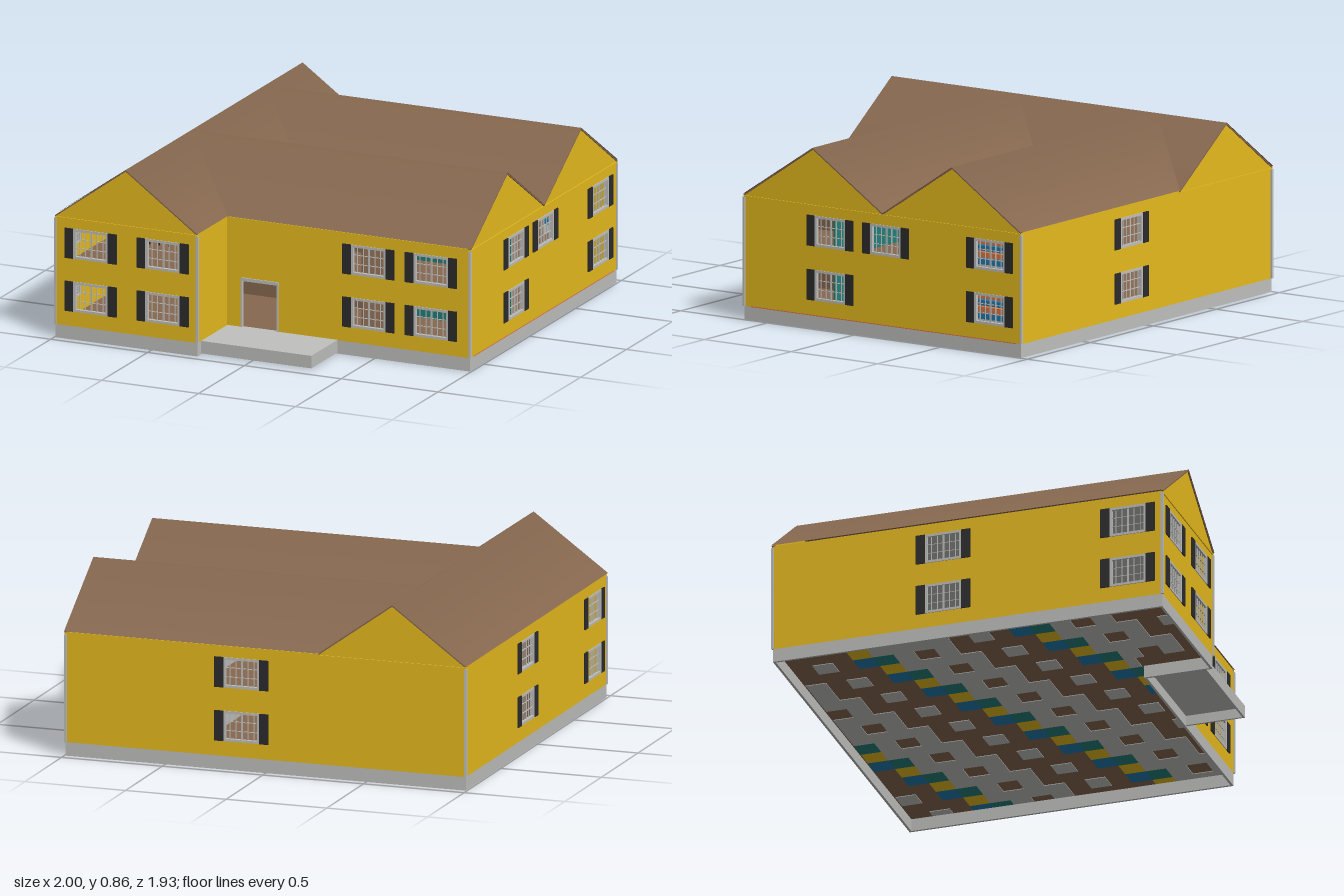
import * as THREE from 'three';

const mat = (name, color, double) => {
  const m = new THREE.MeshStandardMaterial({ color });
  m.name = name;
  if (double) m.side = THREE.DoubleSide;
  return m;
};

export function createModel() {
  const yellow = mat('yellow siding', 0xe8bc1e);
  const brown = mat('brown roof', 0x87684f, true);
  const grey = mat('grey trim', 0xc0c0be);
  const dark = mat('dark shutters', 0x2c2c2e);
  const teal = mat('teal plaster', 0x238078);
  const blue = mat('blue books', 0x1f7ab0);
  const orange = mat('orange books', 0xe0753f);

  const house = new THREE.Group();
  house.name = 'house';

  // Main dimensions: side, back/wing front, main front, wing inner wall
  const W = 0.994, B = 0.96, F = 0.637, I = -0.262;
  const BASE = 0.065, EAVE = 0.595, RIDGE = 0.863;
  const FRONT_RIDGE = 0.239, BACK_RIDGE = -0.564, VALLEY = -0.163, WING_RIDGE = -0.63;

  const box = (parent, name, m, x0, x1, y0, y1, z0, z1) => {
    const mesh = new THREE.Mesh(new THREE.BoxGeometry(x1 - x0, y1 - y0, z1 - z0), m);
    mesh.position.set((x0 + x1) / 2, (y0 + y1) / 2, (z0 + z1) / 2);
    mesh.name = name;
    parent.add(mesh);
    return mesh;
  };
  const shapeOf = pts => new THREE.Shape(pts.map(p => new THREE.Vector2(p[0], p[1])));

  // L-shaped footprint, shrunk by d; laid flat with its top at y
  const footprint = d => [
    [-W + d, -B + d], [W - d, -B + d], [W - d, F - d],
    [I - d, F - d], [I - d, B - d], [-W + d, B - d]];
  const slab = (name, m, top, depth, inset, hole) => {
    const s = shapeOf(footprint(inset));
    if (hole) s.holes.push(new THREE.Path(footprint(hole).map(p => new THREE.Vector2(...p))));
    const mesh = new THREE.Mesh(
      new THREE.ExtrudeGeometry(s, { depth, bevelEnabled: false }).rotateX(Math.PI / 2), m);
    mesh.position.y = top;
    mesh.name = name;
    house.add(mesh);
  };
  slab('foundation', grey, BASE, BASE, 0, 0.012);
  slab('groundFloor', brown, BASE, 0.005, 0.013);
  slab('upperFloor', grey, 0.34, 0.008, 0.018);
  slab('upperCarpet', brown, 0.344, 0.004, 0.018);
  slab('ceiling', grey, 0.588, 0.006, 0.018);

  // Mottled underside of the floor
  const mix = [grey, brown, brown, grey, teal, brown, grey, brown, grey, yellow, brown, grey, brown,
    grey, blue, brown, grey];
  const cell = 0.1;
  for (let i = 0; i < 20; i++) for (let j = 0; j < 19; j++) {
    const x = -0.975 + i * cell, z = -0.94 + j * cell;
    const m = mix[(i * 5 + j * 7) % mix.length];
    const zEnd = x + cell > I - 0.02 ? F - 0.02 : B - 0.02;
    if (m === brown || z > zEnd - 0.01) continue;
    box(house, 'floorPatch', m, x, Math.min(x + cell, 0.975), 0.057, 0.061, z, Math.min(z + cell, zEnd));
  }

  // Shuttered window in a wall's own frame (u across, y up, outside is +z)
  const HW = 0.089, HH = 0.067;
  const addWindow = (wall, u, y) => {
    const g = new THREE.Group();
    g.name = 'window';
    g.position.set(u, y, 0);
    wall.add(g);
    for (const s of [-1, 1]) {
      const a = s * HW, b = s * (HW - 0.011), c = s * (HW + 0.045);
      box(g, 'frameSide', grey, Math.min(a, b), Math.max(a, b), -HH, HH, -0.012, 0.004);
      box(g, 'frameRail', grey, -HW, HW, s * HH - 0.006, s * HH + 0.006, -0.012, 0.004);
      box(g, 'shutter', dark, Math.min(a, c), Math.max(a, c), -HH - 0.006, HH + 0.006, -0.001, 0.006);
    }
    for (let i = 1; i < 6; i++) {
      const t = i === 3 ? 0.004 : 0.0015, x = -HW + i * HW / 3;
      box(g, 'mullion', grey, x - t, x + t, -HH, HH, -0.008, -0.003);
    }
    for (const k of [-0.33, 0.33])
      box(g, 'mullion', grey, -HW, HW, k * HH - 0.0015, k * HH + 0.0015, -0.008, -0.003);
  };

  // Wall cut from an outline, with windows [u, y]
  const addWall = (name, outline, windows, x, z, turn) => {
    const wall = new THREE.Group();
    wall.name = name;
    wall.position.set(x, 0, z);
    wall.rotation.y = turn;
    const s = shapeOf(outline);
    for (const [u, y] of windows) s.holes.push(new THREE.Path(
      [[-1, -1], [-1, 1], [1, 1], [1, -1]].map(c => new THREE.Vector2(u + c[0] * HW, y + c[1] * HH))));
    const mesh = new THREE.Mesh(new THREE.ExtrudeGeometry(s, { depth: 0.014, bevelEnabled: false }), yellow);
    mesh.position.z = -0.014;
    mesh.name = 'siding';
    wall.add(mesh);
    windows.forEach(w => addWindow(wall, ...w));
    house.add(wall);
    return wall;
  };
  const LO = 0.21, UP = 0.468, PEAK = RIDGE - 0.004;
  const stack = (...us) => us.flatMap(u => [[u, LO], [u, UP]]);
  const rect = (a, b) => [[a, BASE], [b, BASE], [b, EAVE], [a, EAVE]];
  const Q = Math.PI / 2;

  // Gable band and sloping rake boards under the roof edge
  const addGable = (wall, left, peak, right) => {
    box(wall, 'gableBand', yellow, left, right, 0.583, 0.591, 0, 0.005);
    for (const end of [left, right]) {
      const dx = peak - end, dy = PEAK - EAVE, len = Math.hypot(dx, dy);
      const rake = box(wall, 'rakeBoard', brown, -len / 2, len / 2, -0.003, 0.003, -0.01, 0.005);
      rake.position.x = (end + peak) / 2;
      rake.position.y = (EAVE + PEAK) / 2 - 0.001;
      rake.rotation.z = Math.atan(dy / dx);
    }
  };

  addGable(addWall('wingFrontWall',
    [[-W, BASE], [I, BASE], [I, EAVE], [WING_RIDGE, PEAK], [-W, EAVE]],
    stack(-0.812, -0.44), 0, B, 0), -W, WING_RIDGE, I);
  addGable(addWall('wingBackWall',
    [[-I, BASE], [W, BASE], [W, EAVE], [-WING_RIDGE, PEAK], [-I, EAVE]], [], 0, -B, Math.PI),
  -I, -WING_RIDGE, W);
  addWall('mainFrontWall',
    [[I, BASE], [-0.183, BASE], [-0.183, 0.295], [0, 0.295], [0, BASE], [W, BASE], [W, EAVE], [I, EAVE]],
    stack(0.47, 0.793), 0, F, 0);
  addWall('mainBackWall', rect(-W, -I), stack(-0.12), 0, -B, Math.PI);
  const side = addWall('rightWall',
    [[-F, BASE], [B, BASE], [B, EAVE], [-BACK_RIDGE, PEAK], [-VALLEY, EAVE - 0.002],
      [-FRONT_RIDGE, PEAK], [-F, EAVE]],
    [...stack(-0.14, 0.78), [0.18, UP]], W, 0, Q);
  addGable(side, -F, -FRONT_RIDGE, -VALLEY);
  addGable(side, -VALLEY, -BACK_RIDGE, B);
  box(side, 'sillLine', orange, -0.6, 0.93, 0.063, 0.067, -0.002, 0.001);
  addWall('leftWall', rect(-B, B), stack(-0.12, 0.79), -W, 0, -Q);
  addWall('wingInnerWall', rect(-B, -F), [], I, 0, Q);

  // Corner boards
  for (const [x, z] of [[-W, -B], [W, -B], [W, F], [I, B], [-W, B]])
    box(house, 'cornerBoard', grey, x - 0.006, x + 0.006, BASE, 0.584, z - 0.006, z + 0.006);

  // Doorway trim and porch shell
  box(house, 'doorLintel', grey, -0.19, 0.006, 0.292, 0.308, F - 0.01, F + 0.006);
  for (const x of [-0.186, 0])
    box(house, 'doorJamb', grey, x - 0.003, x + 0.004, BASE, 0.295, F - 0.014, F + 0.004);
  box(house, 'porchTop', grey, I + 0.003, 0.31, 0.054, 0.067, F - 0.012, 0.925);
  box(house, 'porchFront', grey, I + 0.003, 0.31, 0.006, 0.054, 0.915, 0.925);
  for (const x of [I + 0.003, 0.3])
    box(house, 'porchSide', grey, x, x + 0.01, 0.006, 0.054, F, 0.915);

  // Roofs: eave pair, ridge pair, far eave pair; level normals soften the ridge
  const roof = (name, pts, slopeNormal) => {
    const [nx, ny, nz] = slopeNormal;
    const g = new THREE.BufferGeometry();
    g.setAttribute('position', new THREE.Float32BufferAttribute(pts.flat(), 3));
    g.setAttribute('normal', new THREE.Float32BufferAttribute(
      [nx, ny, nz, nx, ny, nz, 0, 1, 0, 0, 1, 0, -nx, ny, -nz, -nx, ny, -nz], 3));
    g.setIndex([0, 1, 3, 0, 3, 2, 2, 3, 5, 2, 5, 4]);
    const mesh = new THREE.Mesh(g, brown);
    mesh.name = name;
    house.add(mesh);
  };
  const R = 0.967, E = -0.257, V = E - 0.012, y0 = 0.598;
  roof('wingRoof', [[-1, y0, -R], [-1, y0, R], [WING_RIDGE, RIDGE, -R], [WING_RIDGE, RIDGE, R],
    [E, y0, -R], [E, y0, R]], [-0.58, 0.81, 0]);
  for (const [front, ridge, back] of [[F + 0.005, FRONT_RIDGE, VALLEY], [VALLEY, BACK_RIDGE, -R]])
    roof('mainRoof', [[V, y0, front], [1, y0, front], [WING_RIDGE, RIDGE, ridge], [1, RIDGE, ridge],
      [V, y0, back], [1, y0, back]], [0, 0.83, 0.55]);

  // Rooms: teal front room, brown hall
  box(house, 'tealWall', teal, 0.44, 0.97, BASE, 0.582, 0.13, 0.14);
  box(house, 'hallSideWall', brown, 0.425, 0.438, BASE, 0.582, 0.14, 0.62);
  box(house, 'hallBackWall', brown, -0.975, 0.425, BASE, 0.582, 0.13, 0.14);

  // Bookshelves on both storeys, the rear one closer to the windows
  for (const [x, z0, z1] of [[0.41, -0.5, 0.125], [0.84, -0.94, -0.5]]) {
    box(house, 'shelfWall', grey, x - 0.01, x, BASE, 0.582, z0, z1);
    for (const floor of [0.13, 0.39]) for (let row = 0; row < 5; row++)
      box(house, 'bookRow', row % 2 ? orange : blue, x, x + 0.03,
        floor + row * 0.032, floor + row * 0.032 + 0.026, z0, z1);
  }

  // Light frames of the inner doors
  for (const [bottom, top] of [[BASE, 0.25], [0.34, 0.515]]) {
    for (const z of [0.15, 0.215])
      box(house, 'innerDoorPost', grey, 0.438, 0.442, bottom, top, z, z + 0.008);
    box(house, 'innerDoorHead', grey, 0.438, 0.442, top, top + 0.008, 0.15, 0.223);
  }

  // Stairs with balusters, and the upper railing in the wing
  for (let i = 0; i < 9; i++) {
    const x = -0.54 + i * 0.024, y = 0.118 + i * 0.018;
    box(house, 'stairStep', grey, x, x + 0.026, y, y + 0.022, 0.3, 0.42);
    box(house, 'stairBaluster', dark, x + 0.011, x + 0.015, y + 0.022, y + 0.06, 0.41, 0.415);
  }
  box(house, 'railing', dark, -0.95, -0.3, 0.412, 0.418, 0.44, 0.446);
  for (let i = 0; i < 14; i++)
    box(house, 'baluster', dark, -0.95 + i * 0.049, -0.946 + i * 0.049, 0.344, 0.412, 0.441, 0.445);

  return house;
}
